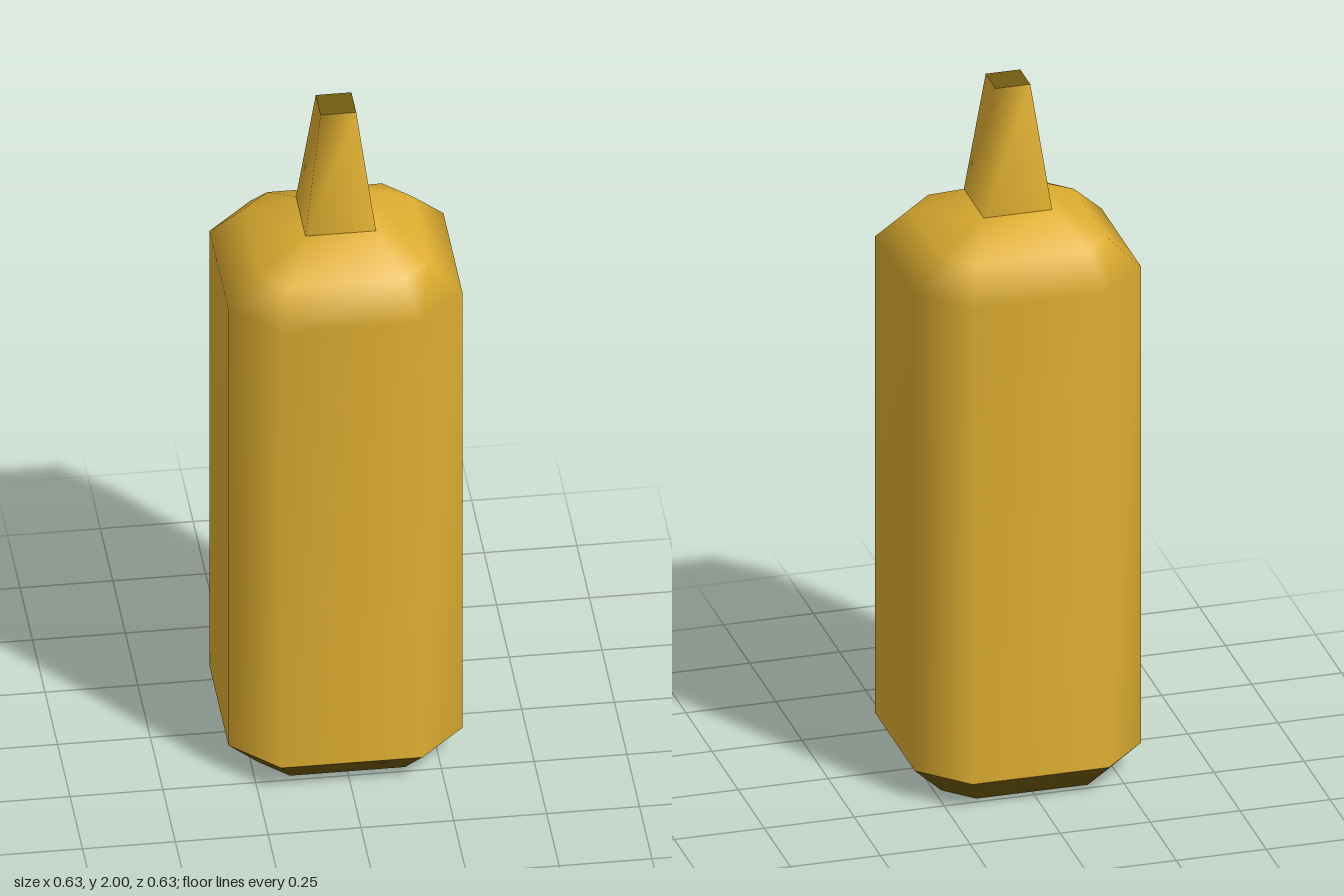
import * as THREE from 'three';
import { mergeVertices } from 'three/addons/utils/BufferGeometryUtils.js';

// Square ring with cut corners: half = half width, flat = half length of each straight side
function ringPoints([y, half, flat]) {
  const points = [];
  for (let i = 0; i < 4; i++) {
    const c = Math.round(Math.cos(i * Math.PI / 2));
    const s = Math.round(Math.sin(i * Math.PI / 2));
    for (const t of [-flat, flat]) points.push([half * c - t * s, y, half * s + t * c]);
  }
  return points;
}

// Smooth skin over rings listed from bottom to top, with optional end caps
function loft(rings, { bottom = false, top = false } = {}) {
  const n = 8, last = (rings.length - 1) * n;
  const positions = rings.flatMap(ringPoints);
  const index = [];
  for (let r = 0; r < rings.length - 1; r++) {
    for (let i = 0; i < n; i++) {
      const a = r * n + i, b = r * n + (i + 1) % n;
      index.push(a, a + n, b, b, a + n, b + n);
    }
  }
  for (let i = 1; i < n - 1; i++) {
    if (bottom) index.push(0, i, i + 1);
    if (top) index.push(last, last + i + 1, last + i);
  }
  const geometry = new THREE.BufferGeometry();
  geometry.setAttribute('position', new THREE.Float32BufferAttribute(positions.flat(), 3));
  geometry.setIndex(index);
  const merged = mergeVertices(geometry);
  merged.computeVertexNormals();
  return merged;
}

export function createModel() {
  const gold = new THREE.MeshStandardMaterial({ color: 0xdeae31 });
  gold.name = 'mustardGold';
  const olive = new THREE.MeshStandardMaterial({ color: 0x735c10 });
  olive.name = 'darkOlive';

  const group = new THREE.Group();
  group.name = 'squeezeBottle';
  const add = (name, geometry, material) => {
    const mesh = new THREE.Mesh(geometry, material);
    mesh.name = name;
    group.add(mesh);
    return mesh;
  };

  // Bevelled foot
  add('base', loft([[0, 0.23, 0.155], [0.085, 0.315, 0.19]], { bottom: true }), olive);

  // Straight walls and sloping shoulders, closing to a square neck
  add('body', loft([
    [0.085, 0.315, 0.19],
    [1.49, 0.315, 0.19],
    [1.575, 0.228, 0.155],
    [1.645, 0.095, 0.095],
  ]), gold);

  // Tapered square spout
  add('nozzle', loft([[1.645, 0.095, 0.095], [2, 0.048, 0.048]]), gold);

  // Dark opening at the tip
  const opening = add('nozzleOpening', new THREE.PlaneGeometry(0.096, 0.096), olive);
  opening.rotation.x = -Math.PI / 2;
  opening.position.y = 2;

  return group;
}
